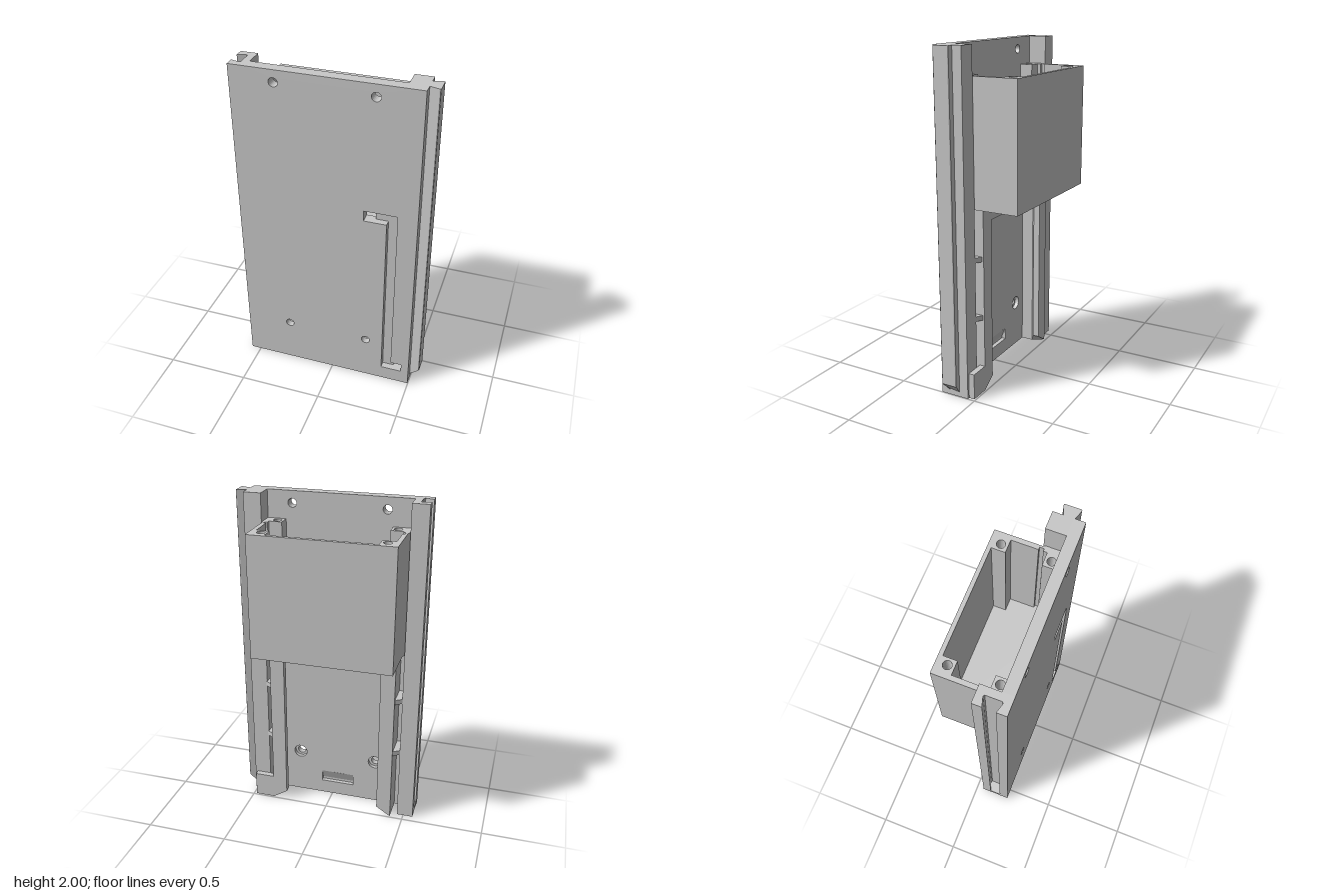
import * as THREE from 'three';

const grey = new THREE.MeshStandardMaterial({ color: 0xc8c8c8 });
grey.name = 'light grey plastic';

const rect = (x0, x1, y0, y1) => [[x0, y0], [x1, y0], [x1, y1], [x0, y1]];
const circle = (x, y, r) => Array.from({ length: 24 }, (_, i) => {
  const a = (i / 24) * Math.PI * 2;
  return [x + r * Math.cos(a), y + r * Math.sin(a)];
});
const vectors = (pts, s) => pts.map(([a, b]) => new THREE.Vector2(a, s * b));

// Extrudes an outline with holes; s flips the second axis
function extrude(pts, holes, depth, s) {
  const shape = new THREE.Shape(vectors(pts, s));
  shape.holes = holes.map((h) => new THREE.Path(vectors(h, s)));
  return new THREE.ExtrudeGeometry(shape, { depth, bevelEnabled: false });
}
// Slab from an x,y outline between two z values
const slab = (pts, z0, z1, holes = []) => extrude(pts, holes, z1 - z0, 1).translate(0, 0, z0);
// Column from an x,z outline between two y values
const column = (pts, y0, y1, holes = []) =>
  extrude(pts, holes, y1 - y0, -1).rotateX(-Math.PI / 2).translate(0, y0, 0);

// Slopes the lower end of a column: rise(x) is added to its bottom vertices
function slopeBottom(geometry, rise) {
  const p = geometry.attributes.position;
  for (let i = 0; i < p.count; i++) {
    if (p.getY(i) < 0.5) p.setY(i, p.getY(i) + Math.max(0, rise(p.getX(i))));
  }
  geometry.computeVertexNormals();
  return geometry;
}

const mid = -0.03; // centre line of the housing
const mirror = (pts) => pts.map(([x, z]) => [2 * mid - x, z]).reverse();

export function createModel() {
  const group = new THREE.Group();
  const add = (name, geometry) => {
    const mesh = new THREE.Mesh(geometry, grey);
    mesh.name = name;
    group.add(mesh);
  };

  // Mounting plate: front skin with cable channel, back skin with recesses
  const screws = [[-0.308, 1.93], [0.245, 1.93], [-0.28, 0.29], [0.217, 0.29]];
  const cable = [[0.323, 0.09], [0.45, 0.09], [0.45, 0.145], [0.383, 0.145],
    [0.383, 1.24], [0.19, 1.24], [0.19, 1.175], [0.323, 1.175]];
  const outline = rect(-0.46, 0.497, 0, 2);
  add('plateFront', slab(outline, 0.18, 0.22,
    [cable, ...screws.map(([x, y]) => circle(x, y, 0.026))]));
  add('plateBack', slab(outline, 0.155, 0.18, [
    rect(0.19, 0.25, 1.175, 1.24), rect(0.393, 0.45, 0.09, 0.145), rect(-0.14, 0.07, 0.09, 0.165),
    ...screws.map(([x, y]) => circle(x, y, y < 1 ? 0.042 : 0.026))]));

  // Ramp in the latch pocket, shallow at the top
  const ramp = [[0.156, 0.164], [0.179, 0.164], [0.179, 0.105]];
  add('latchRamp', extrude(ramp, [], 0.21, 1).rotateY(-Math.PI / 2).translate(0.07, 0, 0));

  // Edge block with dovetail groove and its sloped stop
  add('grooveBlock', column([[-0.56, 0.045], [-0.46, 0.045], [-0.46, 0.22], [-0.56, 0.22],
    [-0.56, 0.165], [-0.51, 0.18], [-0.502, 0.174], [-0.502, 0.089], [-0.51, 0.083],
    [-0.56, 0.098]], 0, 2));
  add('grooveStop', slab([[-0.559, 0.001], [-0.5, 0.001], [-0.5, 0.09], [-0.559, 0.03]], 0.084, 0.179));

  // Opposite edge block with cable exit, and the boss behind it
  add('tongueBlockBase', column(rect(0.393, 0.497, 0.045, 0.155), 0, 0.09, [circle(0.43, 0.085, 0.024)]));
  add('tongueBlock', slab(rect(0.393, 0.497, 0.09, 2), 0.06, 0.155, [rect(0.4, 0.45, 0.09001, 0.145)]));
  add('tongueBlockBack', slab(rect(0.393, 0.497, 0.09, 2), 0.045, 0.06));
  add('cableBoss', slab(rect(0.36, 0.482, 0, 0.155), 0.01, 0.045));

  // Dovetail tongue with its lower end cut at a slope
  const tongue = column([[0.49, 0.103], [0.497, 0.101], [0.55, 0.084], [0.555, 0.085],
    [0.558, 0.09], [0.558, 0.174], [0.555, 0.179], [0.55, 0.18], [0.497, 0.163], [0.49, 0.161]], 0.03, 2);
  add('tongue', slopeBottom(tongue, (x) => (x - 0.497) * 1.05));

  // Open-topped housing: walls with corner posts and guide notches
  const inner = [[-0.343, 0.155], [-0.343, 0.077], [-0.42, 0.077], [-0.42, 0.055],
    [-0.435, 0.055], [-0.435, 0.03], [-0.42, 0.03], [-0.42, -0.12], [-0.343, -0.12], [-0.343, -0.197]];
  const side = [[-0.447, -0.22], [-0.447, 0.045], [-0.46, 0.075], [-0.46, 0.155]];
  const posts = [];
  for (const x of [-0.38, 0.32]) for (const z of [-0.158, 0.115]) posts.push(circle(x, z, 0.024));
  add('housingWalls', column([...side, ...inner, ...mirror(inner), ...mirror(side)], 1.135, 1.836, posts));

  // Housing floor and the beam below it, pierced by vents
  const vents = [-0.215, -0.093, 0.03, 0.152].map((x) => rect(x - 0.006, x + 0.006, 0.055, 0.13));
  vents.push(rect(-0.345, -0.245, 0.062, 0.11));
  add('housingFloor', column([...side, ...mirror(side)], 1.107, 1.135,
    [...vents, circle(-0.332, 0.025, 0.011), circle(-0.26, 0.025, 0.011)]));
  const low = [[-0.42, 0.01], [-0.42, 0.155]];
  add('frameBeam', column([...low, ...mirror(low)], 1.026, 1.107, vents));

  // Undercut slide rails with flared entries, bridged to the edge blocks by ribs
  const rail = [...low, [-0.375, 0.155], [-0.375, 0.08], [-0.331, 0.05], [-0.331, 0.01]];
  const rib = [[-0.46, 0.045], [-0.42, 0.02], [-0.42, 0.155], [-0.46, 0.155]];
  for (const [name, f] of [['right', (q) => q], ['left', mirror]]) {
    add(name + 'SlideRail', slopeBottom(column(f(rail), 0, 1.026), (x) => (0.345 - Math.abs(x - mid)) * 1.3));
    for (const y of [0.445, 0.8]) add(name + 'Rib', column(f(rib), y, y + 0.03));
  }
  return group;
}
